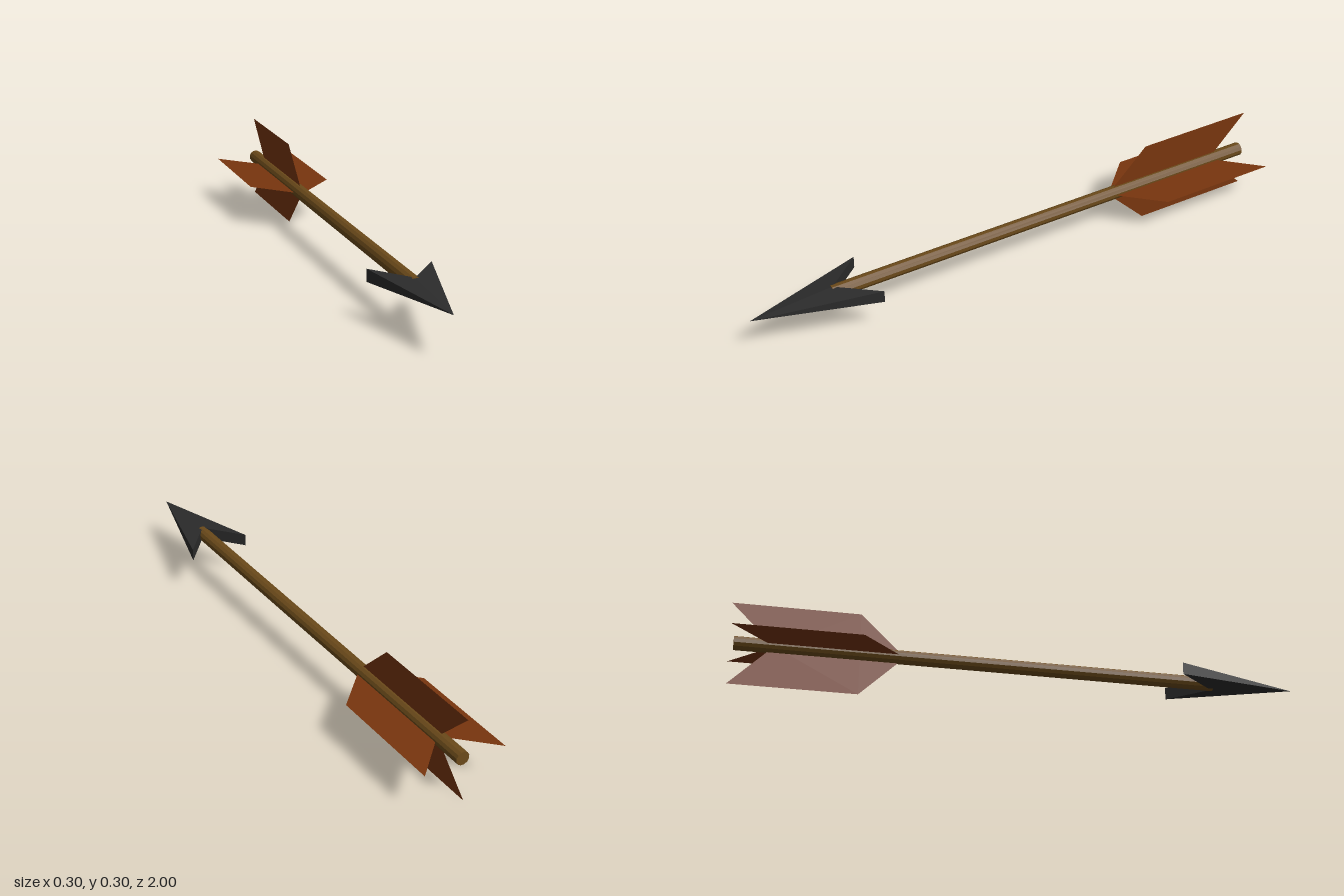
import * as THREE from 'three';

const AXIS_Y = 0.152;

function material(name, color, options = {}) {
  const m = new THREE.MeshStandardMaterial({ color, ...options });
  m.name = name;
  return m;
}

// Barbed head: a swept V at the back, closing to a single point at the front
function headGeometry() {
  const t = 0.022, tip = [0, 0, 1];
  const barb = (sx, sy) => [sx * 0.112, sy * t, 0.565];
  const notch = (sy) => [0, sy * t, 0.7];
  const positions = [];
  const tri = (flip, a, b, c) => positions.push(...a, ...(flip ? [...c, ...b] : [...b, ...c]));
  for (const s of [1, -1]) {
    const flip = s < 0;
    tri(flip, tip, barb(s, 1), notch(1)); // top
    tri(flip, tip, notch(-1), barb(s, -1)); // bottom
    tri(flip, tip, barb(s, -1), barb(s, 1)); // cutting edge
    tri(flip, notch(1), barb(s, 1), barb(s, -1)); // inside of the barb
    tri(flip, notch(1), barb(s, -1), notch(-1));
  }
  const g = new THREE.BufferGeometry();
  g.setAttribute('position', new THREE.Float32BufferAttribute(positions, 3));
  g.computeVertexNormals();
  return g;
}

export function createModel() {
  const wood = material('wood', 0x6b4a1a, { flatShading: true });
  const feather = material('feather', 0x78350e, { side: THREE.DoubleSide });
  const iron = material('iron', 0x2b2b2b, { flatShading: true });

  const arrow = new THREE.Group();
  arrow.name = 'arrow';
  const add = (name, geometry, mat) => {
    const mesh = new THREE.Mesh(geometry, mat);
    mesh.name = name;
    mesh.position.y = AXIS_Y;
    arrow.add(mesh);
    return mesh;
  };

  // Shaft along z, turned so a flat side faces up
  const shaft = new THREE.CylinderGeometry(0.0245, 0.0245, 1.69, 12);
  shaft.rotateY(Math.PI / 12).rotateX(Math.PI / 2).translate(0, 0, -0.14);
  add('shaft', shaft, wood);

  add('head', headGeometry(), iron);

  // Two crossed chevron vanes with no thickness
  const outline = [[0, -0.4], [0.152, -0.556], [0.152, -1], [0, -0.848], [-0.152, -1], [-0.152, -0.556]];
  const vane = new THREE.ShapeGeometry(new THREE.Shape(outline.map(([x, z]) => new THREE.Vector2(x, z))));
  vane.rotateX(Math.PI / 2);
  add('flatFletching', vane, feather);
  add('uprightFletching', vane, feather).rotation.z = Math.PI / 2;

  return arrow;
}
